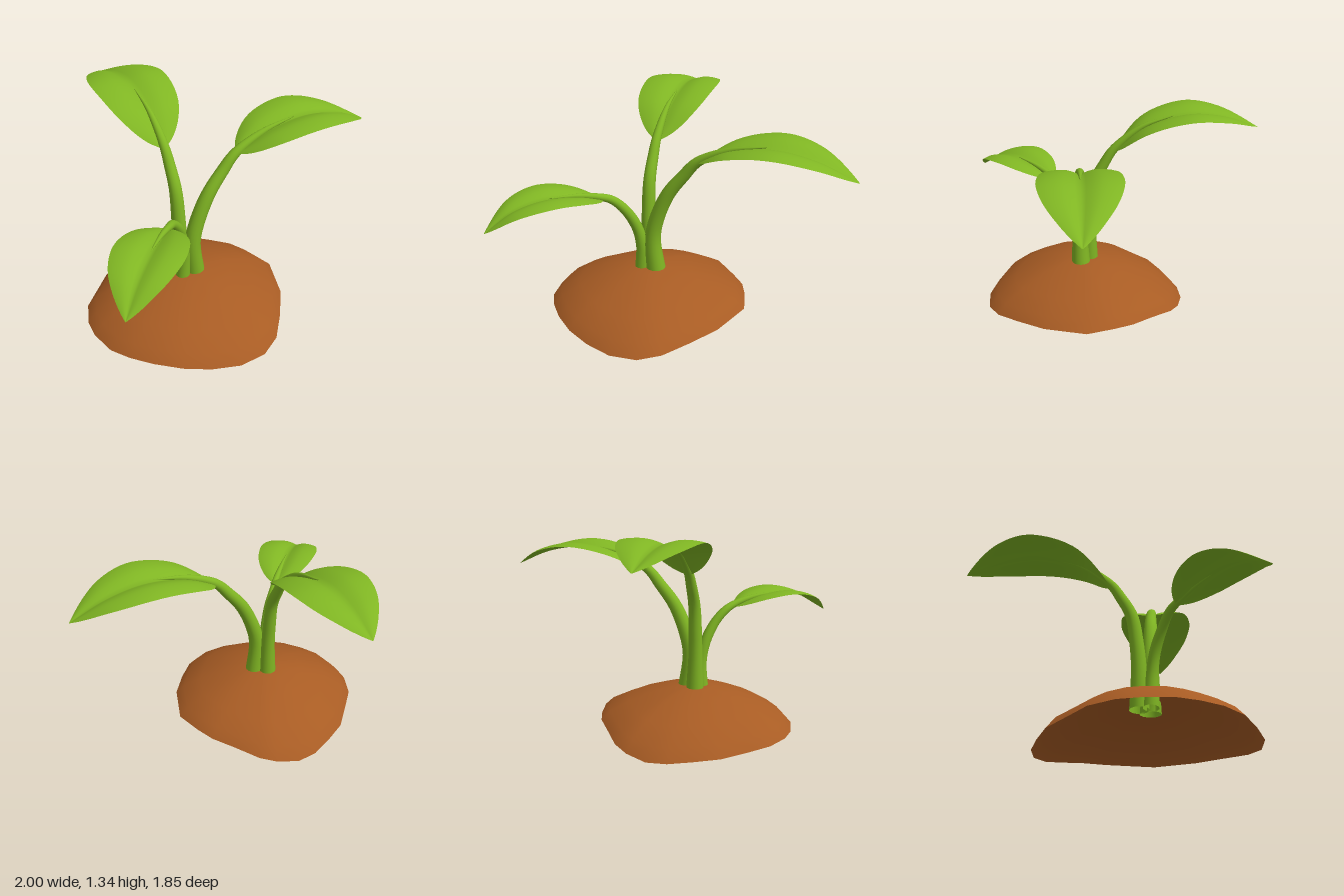
import * as THREE from 'three';
import { mergeVertices } from 'three/addons/utils/BufferGeometryUtils.js';

const V = (p) => new THREE.Vector3(...p);
const path = (pts) => new THREE.CatmullRomCurve3(pts.map(V));

// Linear lookup in evenly spaced values
function sample(values, t) {
  const f = t * (values.length - 1);
  const i = Math.min(Math.floor(f), values.length - 2);
  return THREE.MathUtils.lerp(values[i], values[i + 1], f - i);
}

// Open soil shell: rings shrink from an uneven rim to a flat crown
function moundGeometry() {
  const rim = [
    [0.35, 0.09, 0.21], [0.30, 0.09, 0.03], [0.25, 0.085, -0.09], [0.15, 0.07, -0.22],
    [0.04, 0.045, -0.36], [-0.06, 0.02, -0.42], [-0.2, 0.0, -0.46], [-0.33, 0.005, -0.45],
    [-0.47, 0.015, -0.39], [-0.62, 0.025, -0.31], [-0.76, 0.035, -0.16], [-0.86, 0.045, -0.05],
    [-0.92, 0.05, 0.1], [-0.93, 0.05, 0.23], [-0.9, 0.055, 0.4], [-0.83, 0.06, 0.52],
    [-0.73, 0.065, 0.64], [-0.6, 0.06, 0.75], [-0.45, 0.04, 0.82], [-0.28, 0.03, 0.87],
    [-0.11, 0.03, 0.86], [0.02, 0.045, 0.79], [0.14, 0.065, 0.65], [0.26, 0.08, 0.48],
  ];
  const rings = [[1, 0], [0.91, 0.26], [0.71, 0.56], [0.45, 0.83], [0.2, 0.99], [0, 1]];
  const n = rim.length;
  const geo = new THREE.PlaneGeometry(1, 1, n, rings.length - 1);
  const pos = geo.attributes.position;
  for (let i = 0; i < pos.count; i++) {
    const p = rim[i % (n + 1) % n];
    const [r, h] = rings[rings.length - 1 - Math.floor(i / (n + 1))];
    pos.setXYZ(i,
      THREE.MathUtils.lerp(-0.29, p[0], r),
      THREE.MathUtils.lerp(p[1], 0.3, h),
      THREE.MathUtils.lerp(0.22, p[2], r));
  }
  geo.deleteAttribute('uv');
  geo.deleteAttribute('normal');
  const merged = mergeVertices(geo, 1e-5);
  merged.computeVertexNormals();
  return merged;
}

// Tapered open tube that ends as the vein on the leaf
function stemGeometry(pts, scale) {
  const radii = [0.065, 0.05, 0.045, 0.036, 0.022, 0.003];
  const curve = path(pts), steps = 40, sides = 16;
  const geo = new THREE.TubeGeometry(curve, steps, 1, sides, false);
  const pos = geo.attributes.position, v = new THREE.Vector3();
  for (let i = 0; i < pos.count; i++) {
    const u = Math.floor(i / (sides + 1)) / steps;
    const centre = curve.getPointAt(u);
    v.fromBufferAttribute(pos, i).sub(centre).multiplyScalar(sample(radii, u) * scale).add(centre);
    pos.setXYZ(i, v.x, v.y, v.z);
  }
  return geo;
}

// Pointed blade: half-width along the length, shallow groove across
const outline = new THREE.SplineCurve([
  [0, 0.01], [0.06, 0.36], [0.16, 0.67], [0.3, 0.9], [0.48, 1],
  [0.62, 0.93], [0.75, 0.74], [0.87, 0.45], [0.95, 0.2], [1, 0.01],
].map((p) => new THREE.Vector2(...p)));
const groove = [0, 0.45, 0.85, 1, 1, 0.9, 0.65];

function leafGeometry(rib, halfWidth, depth) {
  const curve = path(rib);
  const dir = V(rib[rib.length - 1]).sub(V(rib[0])).setY(0).normalize();
  const side = dir.clone().cross(new THREE.Vector3(0, 1, 0));
  const geo = new THREE.PlaneGeometry(1, 1, 16, 36);
  const { position: pos, uv } = geo.attributes;
  for (let i = 0; i < pos.count; i++) {
    const s = uv.getX(i) * 2 - 1;
    const o = outline.getPoint(uv.getY(i));
    const p = curve.getPoint(THREE.MathUtils.clamp(o.x, 0, 1)).addScaledVector(side, s * o.y * halfWidth);
    p.y += depth * o.y * sample(groove, Math.abs(s));
    pos.setXYZ(i, p.x, p.y, p.z);
  }
  geo.computeVertexNormals();
  return geo;
}

export function createModel() {
  const soil = new THREE.MeshStandardMaterial({ color: 0xa85c24, side: THREE.DoubleSide });
  soil.name = 'soil brown';
  const green = new THREE.MeshStandardMaterial({ color: 0x80b623, side: THREE.DoubleSide });
  green.name = 'leaf green';

  const model = new THREE.Group();
  model.name = 'seedling';
  const add = (name, geometry, material) => {
    const mesh = new THREE.Mesh(geometry, material);
    mesh.name = name;
    model.add(mesh);
  };

  add('soilMound', moundGeometry(), soil);

  const sprouts = [
    {
      name: 'left', scale: 1, halfWidth: 0.245, depth: 0.04,
      stem: [[-0.23, 0.23, 0.23], [-0.25, 0.5, 0.235], [-0.22, 0.64, 0.235], [-0.14, 0.82, 0.235],
        [-0.04, 0.95, 0.23], [0.05, 1.05, 0.23], [0.25, 1.145, 0.23], [0.46, 1.187, 0.23]],
      rib: [[0.05, 1.04, 0.23], [0.26, 1.135, 0.23], [0.52, 1.175, 0.23], [0.77, 1.135, 0.23], [1, 1.04, 0.23]],
    },
    {
      name: 'back', scale: 0.92, halfWidth: 0.245, depth: 0.035,
      stem: [[-0.305, 0.23, 0.17], [-0.305, 0.5, 0.17], [-0.305, 0.65, 0.16], [-0.305, 0.85, 0.13],
        [-0.305, 0.98, 0.065], [-0.305, 1.08, 0], [-0.305, 1.225, -0.18], [-0.305, 1.295, -0.38]],
      rib: [[-0.305, 1.06, 0], [-0.305, 1.22, -0.2], [-0.305, 1.3, -0.47], [-0.305, 1.28, -0.71], [-0.305, 1.21, -0.93]],
    },
    {
      name: 'frontRight', scale: 0.75, halfWidth: 0.2, depth: 0.033,
      stem: [[-0.33, 0.23, 0.24], [-0.32, 0.45, 0.25], [-0.34, 0.58, 0.27], [-0.39, 0.71, 0.32],
        [-0.45, 0.79, 0.37], [-0.5, 0.825, 0.425], [-0.6, 0.86, 0.525], [-0.72, 0.877, 0.645]],
      rib: [[-0.49, 0.8, 0.41], [-0.61, 0.852, 0.535], [-0.74, 0.87, 0.665], [-0.88, 0.83, 0.8], [-1, 0.73, 0.92]],
    },
  ];
  for (const s of sprouts) {
    add(s.name + 'Stem', stemGeometry(s.stem, s.scale), green);
    add(s.name + 'Leaf', leafGeometry(s.rib, s.halfWidth, s.depth), green);
  }
  return model;
}
